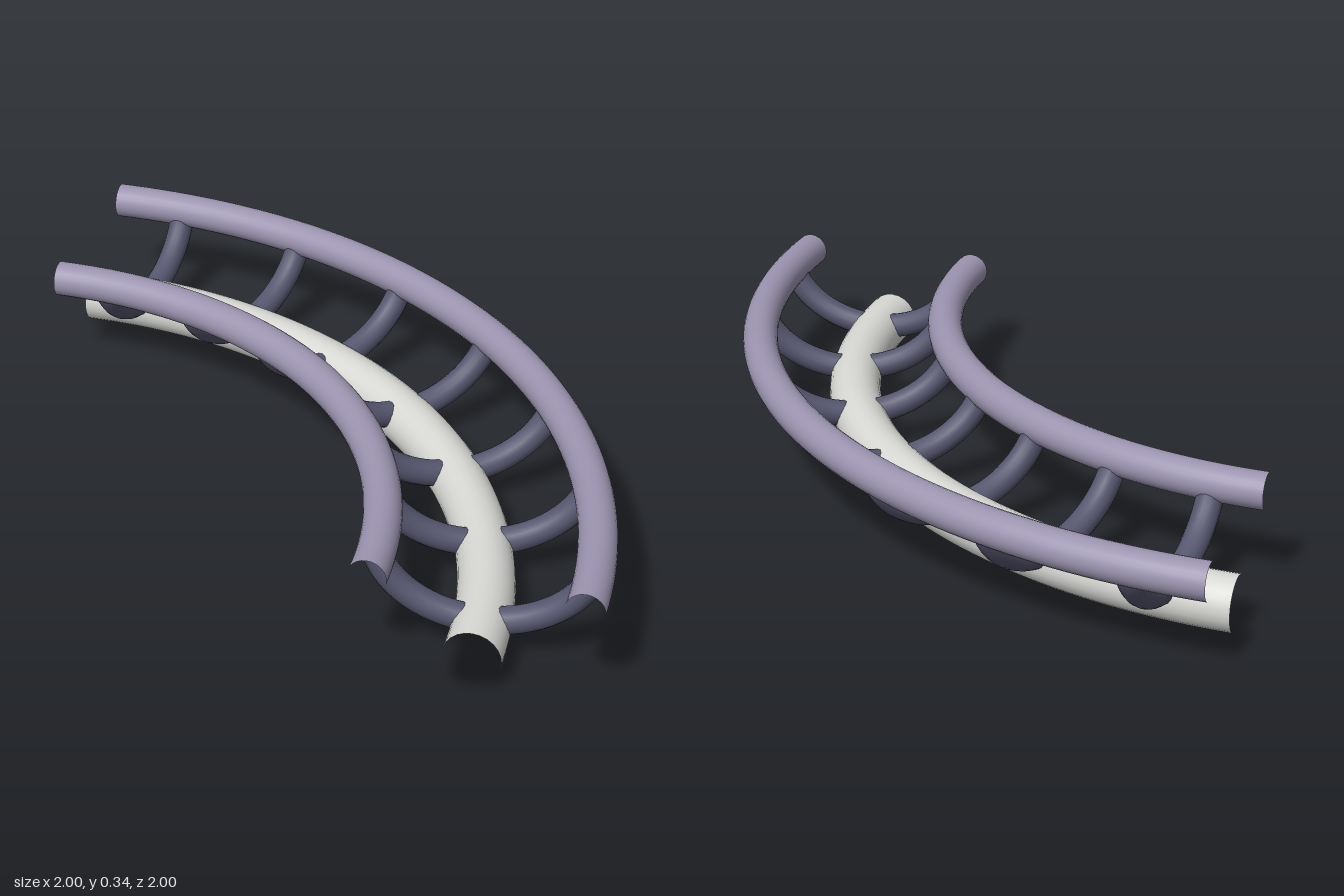
import * as THREE from 'three';

const material = (name, color) => {
  const m = new THREE.MeshStandardMaterial({ color });
  m.name = name;
  return m;
};

export function createModel() {
  const group = new THREE.Group();
  group.name = 'curvedTrack';
  const railPaint = material('mauve rail', 0x9c94b0);
  const spinePaint = material('pale grey spine', 0xd8d8d5);
  const tiePaint = material('dark slate tie', 0x56566f);

  // everything turns around one corner of the quarter circle
  const bend = new THREE.Group();
  bend.name = 'bend';
  bend.position.set(-1, 0, 1);
  group.add(bend);

  const RAIL_Y = 0.286, INNER = 1.365, OUTER = 1.946;

  // open-ended quarter-circle pipes
  const pipe = (name, bendRadius, tubeRadius, y, mat) => {
    const geo = new THREE.TorusGeometry(bendRadius, tubeRadius, 24, 64, Math.PI / 2);
    geo.rotateX(-Math.PI / 2);
    const mesh = new THREE.Mesh(geo, mat);
    mesh.name = name;
    mesh.position.y = y;
    bend.add(mesh);
  };
  pipe('innerRail', INNER, 0.054, RAIL_Y, railPaint);
  pipe('outerRail', OUTER, 0.054, RAIL_Y, railPaint);
  pipe('spine', 1.652, 0.081, 0.081, spinePaint);

  // U-shaped ties dip from rail to rail through the spine
  const sweep = THREE.MathUtils.degToRad(75);
  const half = (OUTER - INNER) / 2, bottom = 0.105;
  const points = [];
  for (let i = 0; i <= 12; i++) {
    const t = sweep * (i / 6 - 1);
    points.push(new THREE.Vector3(
      INNER + half + half * Math.sin(t) / Math.sin(sweep),
      bottom + (RAIL_Y - bottom) * (1 - Math.cos(t)) / (1 - Math.cos(sweep)),
      0));
  }
  const tieGeo = new THREE.TubeGeometry(new THREE.CatmullRomCurve3(points), 28, 0.039, 16);
  for (let i = 0; i < 7; i++) {
    const tie = new THREE.Mesh(tieGeo, tiePaint);
    tie.name = 'tie' + (i + 1);
    tie.rotation.y = THREE.MathUtils.degToRad(5.2 + 13.03 * i);
    bend.add(tie);
  }
  return group;
}
